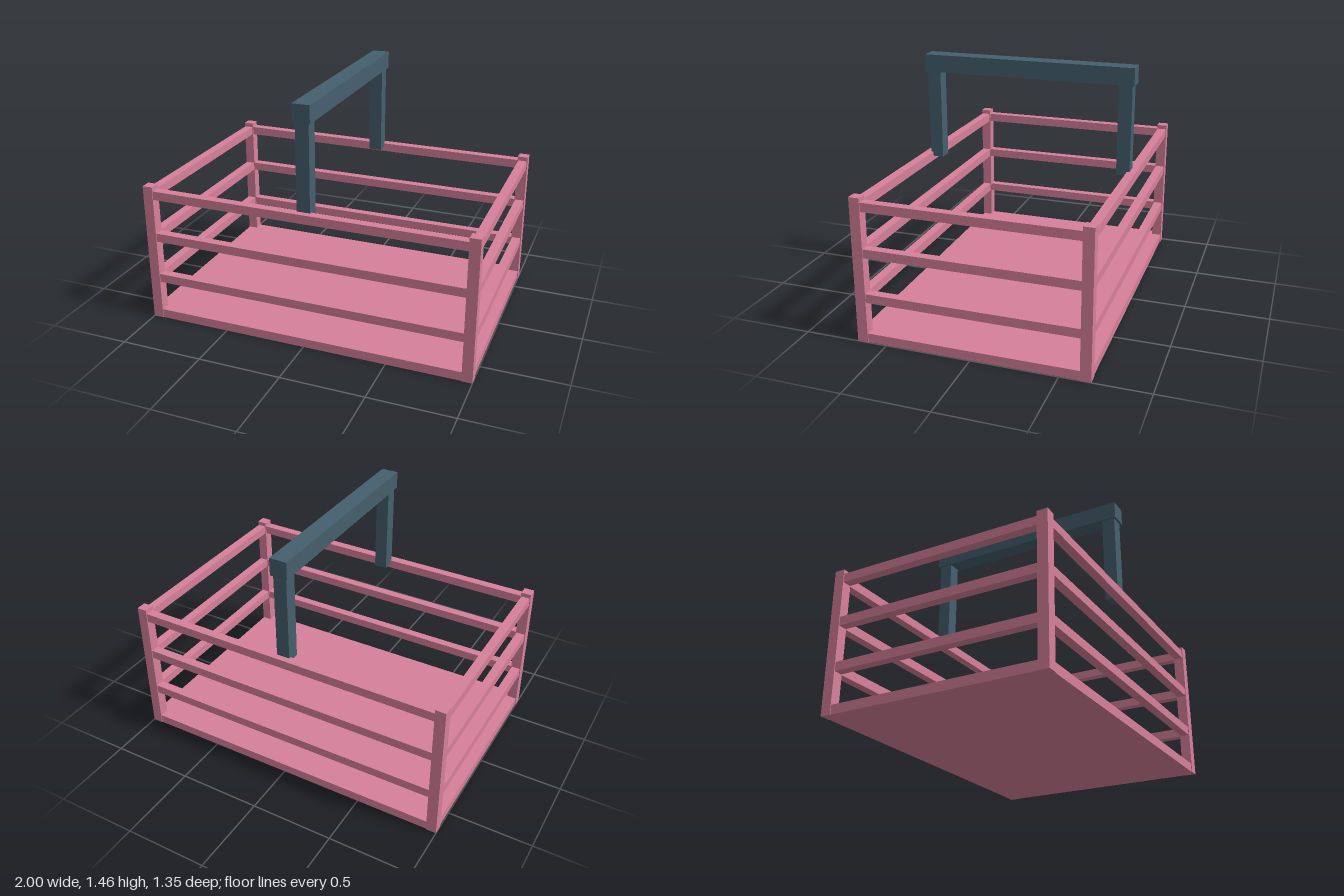
import * as THREE from 'three';

export function createModel() {
  const model = new THREE.Group();
  const pink = new THREE.MeshStandardMaterial({ color: 0xd7809b, flatShading: true });
  const slate = new THREE.MeshStandardMaterial({ color: 0x455f6d, flatShading: true });

  // Box resting on height y
  function box(name, material, [w, h, d], [x, y, z], parent = model) {
    const mesh = new THREE.Mesh(new THREE.BoxGeometry(w, h, d), material);
    mesh.name = name;
    mesh.position.set(x, y + h / 2, z);
    parent.add(mesh);
  }

  const postX = 0.969, postZ = 0.645, post = 0.062, rail = 0.053;

  // Floor slab, flush with the outside of the rails
  box('floor', pink, [2 * postX + rail, 0.055, 2 * postZ + rail], [0, 0, 0]);

  // Corner posts
  for (const sx of [-1, 1])
    for (const sz of [-1, 1])
      box('cornerPost', pink, [post, 0.862, post], [sx * postX, 0, sz * postZ]);

  // Three rails on each side
  for (const y of [0.245, 0.514, 0.783])
    for (const s of [-1, 1]) {
      box('longRail', pink, [2 * postX, rail, rail], [0, y, s * postZ]);
      box('shortRail', pink, [rail, rail, 2 * postZ], [s * postX, y, 0]);
    }

  // Carrying handle: two uprights and a crossbar
  const handle = new THREE.Group();
  handle.name = 'handle';
  model.add(handle);
  for (const s of [-1, 1])
    box('handleUpright', slate, [0.08, 0.55, 0.08], [0, 0.81, s * 0.594], handle);
  box('handleBar', slate, [0.105, 0.105, 1.292], [0, 1.35, 0], handle);

  return model;
}
